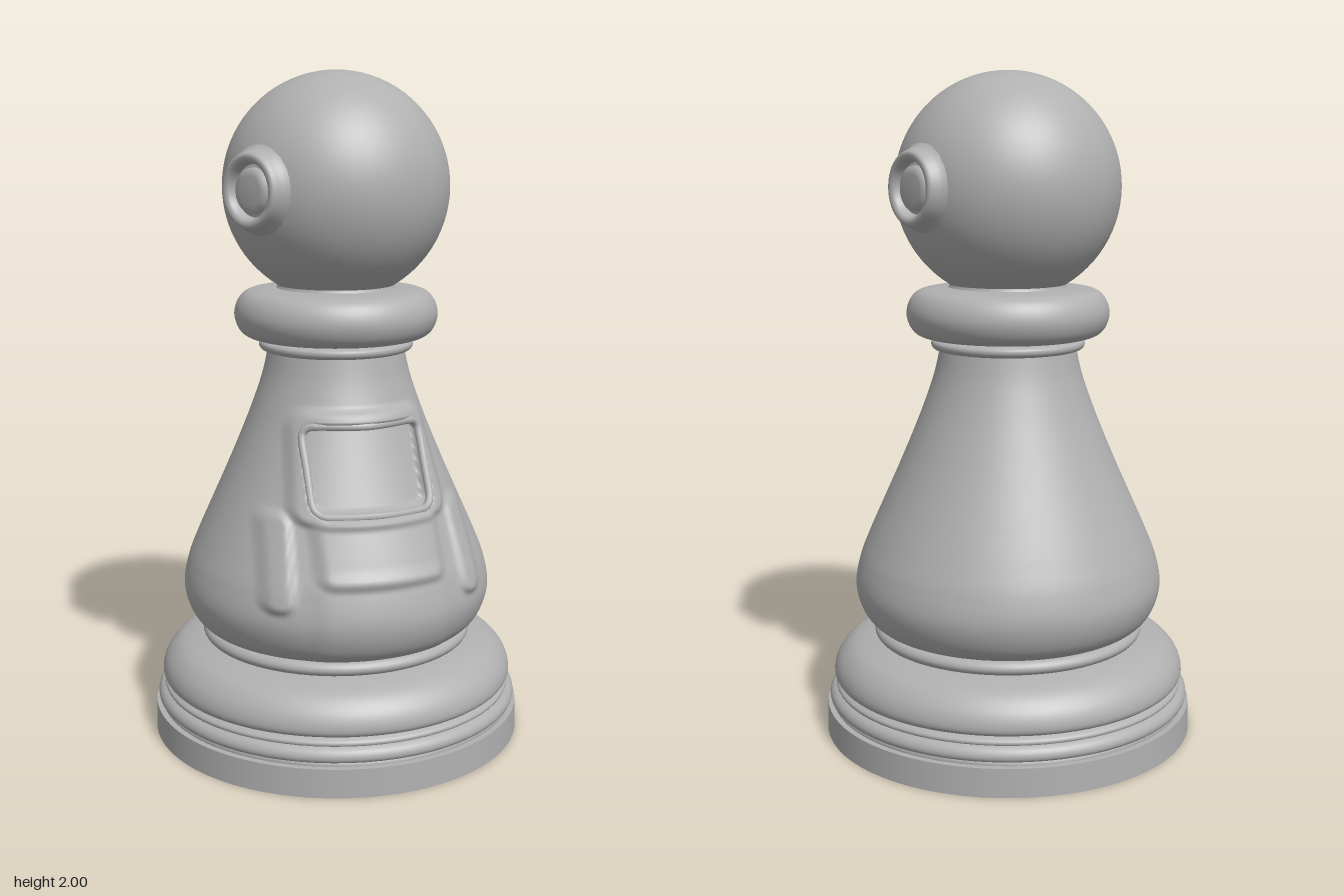
import * as THREE from 'three';
import { mergeVertices } from 'three/addons/utils/BufferGeometryUtils.js';

const stone = new THREE.MeshStandardMaterial({ color: 0xb0b0b0 });
stone.name = 'grey stone';

const vecs = (pts) => pts.map(([r, y]) => new THREE.Vector2(r, y));

function add(parent, name, geometry) {
  const mesh = new THREE.Mesh(geometry, stone);
  mesh.name = name;
  parent.add(mesh);
  return mesh;
}

// Turned part: profile of [radius, height], bottom to top; smooth runs a spline through it
function turned(parent, name, pts, smooth = 0, sides = 72) {
  const profile = smooth ? new THREE.SplineCurve(vecs(pts)).getPoints(smooth) : vecs(pts);
  return add(parent, name, new THREE.LatheGeometry(profile, sides));
}

const bodyProfile = new THREE.SplineCurve(vecs([
  [0.36, 0.325], [0.415, 0.345], [0.452, 0.39], [0.47, 0.46], [0.456, 0.54], [0.425, 0.62],
  [0.385, 0.71], [0.34, 0.81], [0.297, 0.91], [0.257, 1.01], [0.223, 1.11], [0.203, 1.2],
])).getSpacedPoints(130);

function bodyRadius(y) {
  const i = Math.max(1, bodyProfile.findIndex((p) => p.y >= y));
  const a = bodyProfile[i - 1], b = bodyProfile[i];
  return THREE.MathUtils.lerp(a.x, b.x, (y - a.y) / (b.y - a.y));
}

// 1 inside a rounded rectangle, falling to 0 over the soft edge
function mask(x, y, cx, cy, hx, hy, corner, soft) {
  const qx = Math.abs(x - cx) - hx + corner, qy = Math.abs(y - cy) - hy + corner;
  const d = Math.hypot(Math.max(qx, 0), Math.max(qy, 0)) + Math.min(Math.max(qx, qy), 0) - corner;
  return 1 - THREE.MathUtils.smoothstep(d, -soft, soft);
}

// Relief on the front: raised surround, sunken panel, apron and side folds
function relief(x, y) {
  const ax = Math.abs(x);
  const lean = 0.3 * (y - 0.88);
  let d = 0.022 * mask(ax + lean * 0.4, y, 0, 0.885, 0.222, 0.15, 0.05, 0.014);
  d -= 0.052 * mask(x, y, 0, 0.877, 0.178, 0.118, 0.035, 0.01);
  d += 0.02 * mask(x, y, 0, 0.66, 0.185, 0.085, 0.03, 0.018);
  d += 0.008 * mask(x, y, 0, 0.47, 0.2, 0.13, 0.04, 0.03);
  d += 0.022 * mask(ax + lean * 0.3, y, 0.265, 0.63, 0.035, 0.13, 0.03, 0.016);
  return d;
}

function bodyGeometry() {
  const g = new THREE.LatheGeometry(bodyProfile, 200, Math.PI);
  const p = g.attributes.position;
  for (let i = 0; i < p.count; i++) {
    const z = p.getZ(i);
    if (z > 0) p.setZ(i, z + relief(p.getX(i), p.getY(i)) * Math.min(1, z / 0.1));
  }
  g.deleteAttribute('uv');
  g.deleteAttribute('normal');
  const merged = mergeVertices(g, 1e-5);
  merged.computeVertexNormals();
  return merged;
}

// Rounded rim laid on the body around the sunken panel
function panelRim() {
  const hx = 0.18, hy = 0.12, c = 0.035, pts = [];
  for (const [sx, sy, start] of [[1, 1, 0], [-1, 1, 1], [-1, -1, 2], [1, -1, 3]]) {
    for (let k = 0; k <= 4; k++) {
      const a = (start + k / 4) * Math.PI / 2;
      const x = sx * (hx - c) + c * Math.cos(a);
      const y = 0.877 + sy * (hy - c) + c * Math.sin(a);
      pts.push([x, y]);
    }
    // Midpoint of the straight run to the next corner
    if (start % 2 === 0) pts.push([0, 0.877 + sy * hy]);
    else pts.push([sx * hx, 0.877]);
  }
  const path = pts.map(([x, y]) =>
    new THREE.Vector3(x, y, Math.sqrt(Math.max(0, bodyRadius(y) ** 2 - x * x)) + 0.012));
  return new THREE.TubeGeometry(new THREE.CatmullRomCurve3(path, true), 120, 0.012, 8, true);
}

export function createModel() {
  const model = new THREE.Group();
  model.name = 'pawn';

  // Stepped base
  const base = new THREE.Group();
  base.name = 'base';
  model.add(base);
  const foot = add(base, 'footDisc', new THREE.CylinderGeometry(0.564, 0.567, 0.085, 72));
  foot.position.y = 0.0425;
  turned(base, 'footStep', [[0.545, 0.08], [0.55, 0.1], [0.53, 0.105]]);
  turned(base, 'lowerBead', [[0.52, 0.09], [0.55, 0.098], [0.557, 0.115], [0.545, 0.135], [0.51, 0.15]], 16);
  turned(base, 'upperBead', [[0.51, 0.128], [0.533, 0.138], [0.535, 0.152], [0.51, 0.166]], 12);
  turned(base, 'baseCushion', [[0.49, 0.155], [0.533, 0.168], [0.541, 0.195], [0.525, 0.235],
    [0.485, 0.272], [0.42, 0.293], [0.36, 0.3]], 32);
  turned(base, 'waistRing', [[0.36, 0.288], [0.4, 0.293], [0.415, 0.312], [0.402, 0.332], [0.36, 0.34]], 16);

  // Flared body with the front relief
  add(model, 'body', bodyGeometry());
  add(model, 'panelRim', panelRim());

  // Neck rings
  turned(model, 'neckBead', [[0.19, 1.178], [0.222, 1.184], [0.232, 1.198], [0.222, 1.212], [0.17, 1.222]], 16);
  turned(model, 'collar', [[0.17, 1.217], [0.25, 1.221], [0.288, 1.242], [0.305, 1.288], [0.292, 1.335],
    [0.255, 1.362], [0.16, 1.37]], 36);
  turned(model, 'neck', [[0.19, 1.35], [0.178, 1.37], [0.175, 1.385], [0.19, 1.41]], 10);

  // Round head with a raised port on either side
  const head = new THREE.Group();
  head.name = 'head';
  head.position.y = 1.664;
  model.add(head);
  add(head, 'headBall', new THREE.SphereGeometry(0.336, 64, 40));
  for (const side of [1, -1]) {
    const port = new THREE.Group();
    port.name = side > 0 ? 'leftPort' : 'rightPort';
    port.quaternion.setFromUnitVectors(new THREE.Vector3(0, 1, 0),
      new THREE.Vector3(0.89 * side, 0, -0.456 * side).normalize());
    head.add(port);
    turned(port, 'portRing', [[0.145, 0.292], [0.118, 0.322], [0.107, 0.35], [0.097, 0.358], [0.083, 0.354],
      [0.075, 0.338], [0.073, 0.32]], 24, 40);
    turned(port, 'portLens', [[0.066, 0.32], [0.063, 0.342], [0.04, 0.346], [0, 0.347]], 0, 40);
  }
  return model;
}
